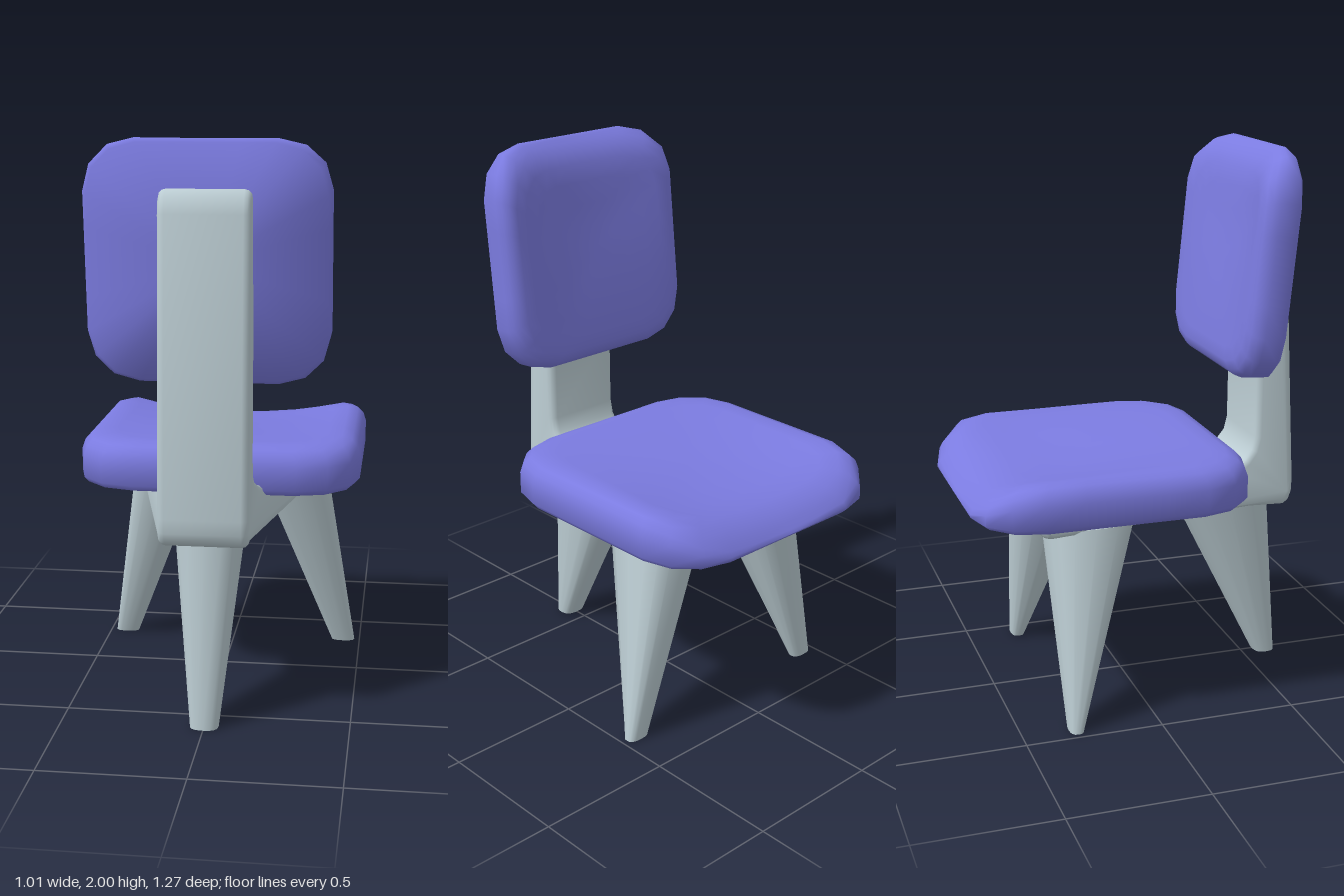
import * as THREE from 'three';
import { toCreasedNormals } from 'three/addons/utils/BufferGeometryUtils.js';

const { lerp, clamp, smoothstep } = THREE.MathUtils;

// Rounded-square cushion with a flat underside, dished top and falling front edge (-z)
function cushionGeometry() {
  const quarter = [[0.505, 0], [0.505, 0.15], [0.505, 0.29], [0.475, 0.4], [0.4, 0.475], [0.29, 0.505], [0.15, 0.505]];
  const outline = [];
  for (let q = 0; q < 4; q++) {
    for (const [a, b] of quarter) outline.push([[a, b], [-b, a], [-a, -b], [b, -a]][q]);
  }
  // Each ring is [outline scale, height]
  const rings = [[0, 0], [0.97, 0], [1, 0.02], [1, 0.1], [0.98, 0.132], [0.94, 0.155], [0.87, 0.168],
    [0.76, 0.17], [0.6, 0.17], [0.4, 0.17], [0.2, 0.17], [0, 0.17]];
  const n = outline.length, positions = [], index = [];
  rings.forEach(([s, h], r) => {
    outline.forEach(([ox, oz], i) => {
      const x = ox * s, z = oz * s;
      const fall = 1 - 0.55 * clamp((-z - 0.295) / 0.21, 0, 1) ** 2.5;
      const across = Math.max(0, 1 - (x / 0.46) ** 2);
      const dip = 0.055 * across * smoothstep(-z, -0.3, 0.45) + 0.015 * Math.max(0, 1 - (s / 0.87) ** 2);
      positions.push(x, Math.max(h * fall - dip * (h / 0.17), Math.min(h, 0.015)), z);
      if (r === 0) return;
      const a = (r - 1) * n + i, a1 = (r - 1) * n + (i + 1) % n;
      if (r > 1) index.push(a, a + n, a1);
      if (r < rings.length - 1) index.push(a1, a + n, a1 + n);
    });
  });
  const g = new THREE.BufferGeometry();
  g.setAttribute('position', new THREE.Float32BufferAttribute(positions, 3));
  g.setIndex(index);
  return toCreasedNormals(g, 1.0);
}

// L-shaped post and seat support, widening toward the front
function frameGeometry() {
  const profile = [[0.6, 0.65], [0.46, 0.655], [-0.37, 0.7], [-0.395, 0.71], [-0.408, 0.735], [-0.408, 0.79],
    [0.36, 0.805], [0.4, 0.82], [0.44, 0.845], [0.465, 0.88], [0.477, 0.93], [0.478, 1.2], [0.465, 1.35],
    [0.51, 1.838], [0.54, 1.838], [0.568, 1.815], [0.583, 1.76], [0.637, 0.75], [0.635, 0.7], [0.622, 0.665]];
  const shape = new THREE.Shape(profile.map(([z, y]) => new THREE.Vector2(-z, y)));
  const bevel = 0.025, depth = 0.31 - 2 * bevel;
  const g = new THREE.ExtrudeGeometry(shape, {
    depth, bevelEnabled: true, bevelSize: bevel, bevelOffset: -bevel, bevelThickness: bevel, bevelSegments: 3,
  });
  g.translate(0, 0, -depth / 2).rotateY(Math.PI / 2);
  const p = g.attributes.position;
  for (let i = 0; i < p.count; i++) {
    p.setX(i, p.getX(i) * (1 + 1.65 * clamp((0.46 - p.getZ(i)) / 0.87, 0, 1)));
  }
  return toCreasedNormals(g, 0.8);
}

// Tapered leg: each end is { x, y, z, rx, rz }, with a softly squared section
function legGeometry(foot, top) {
  const g = new THREE.CylinderGeometry(1, 1, 1, 16, 1);
  const p = g.attributes.position;
  const soft = (v) => Math.sign(v) * Math.abs(v) ** 0.75;
  for (let i = 0; i < p.count; i++) {
    const t = p.getY(i) + 0.5;
    const at = (k) => lerp(foot[k], top[k], t);
    p.setXYZ(i, at('x') + soft(p.getX(i)) * at('rx'), at('y'), at('z') + soft(p.getZ(i)) * at('rz'));
  }
  return toCreasedNormals(g, 0.9);
}

export function createModel() {
  const model = new THREE.Group();
  model.name = 'chair';
  const fabric = new THREE.MeshStandardMaterial({ name: 'violet cushion', color: 0x7b7be0 });
  const shell = new THREE.MeshStandardMaterial({ name: 'pale grey frame', color: 0xbccdd3 });
  const add = (name, geometry, material) => {
    const mesh = new THREE.Mesh(geometry, material);
    mesh.name = name;
    model.add(mesh);
    return mesh;
  };

  // Seat and the smaller, upright back cushion share one shape
  const cushion = cushionGeometry();
  add('seat', cushion, fabric).position.set(0, 0.77, -0.127);
  const back = add('backrest', cushion, fabric);
  back.scale.setScalar(0.815);
  back.rotation.set(-Math.PI / 2 + 0.097, Math.PI, 0);
  back.position.set(0, 1.59, 0.5);

  add('frame', frameGeometry(), shell);

  // One leg under the post, two splayed under the seat
  add('rearLeg', legGeometry(
    { x: 0, y: 0, z: 0.59, rx: 0.05, rz: 0.042 },
    { x: 0, y: 0.7, z: 0.385, rx: 0.125, rz: 0.19 }), shell);
  for (const side of [1, -1]) {
    add(side > 0 ? 'frontLegLeft' : 'frontLegRight', legGeometry(
      { x: side * 0.435, y: 0, z: -0.305, rx: 0.045, rz: 0.026 },
      { x: side * 0.24, y: 0.72, z: -0.2, rx: 0.13, rz: 0.165 }), shell);
  }
  return model;
}
